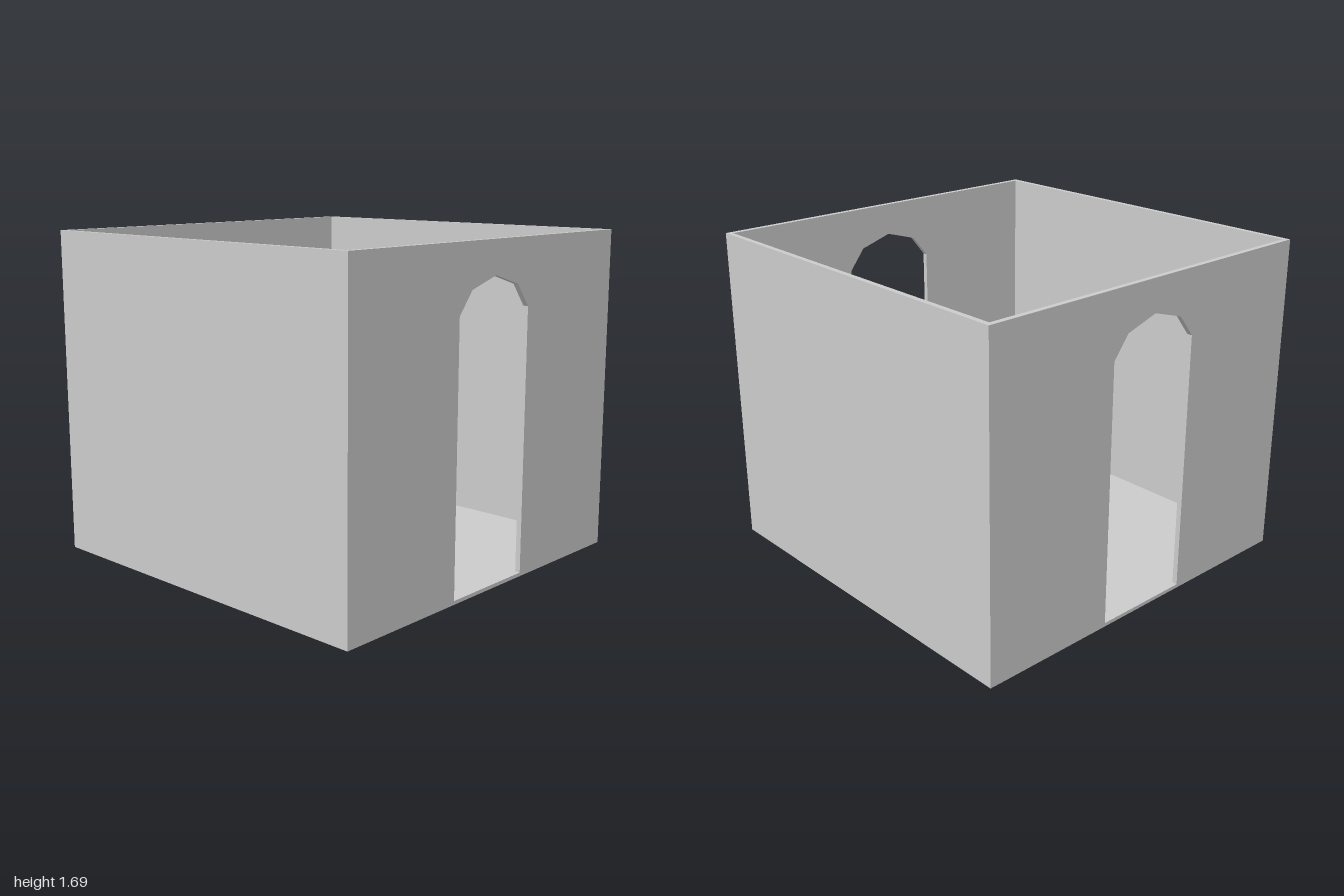
import * as THREE from 'three';

const HEIGHT = 1.69, THICK = 0.027, FLOOR = 0.019;
const INNER = 1 - THICK;

export function createModel() {
  const group = new THREE.Group();
  const material = new THREE.MeshStandardMaterial({ color: 0xcccccc, flatShading: true });

  const add = (name, geometry, x, y, z) => {
    const mesh = new THREE.Mesh(geometry, material);
    mesh.name = name;
    mesh.position.set(x, y, z);
    group.add(mesh);
  };

  // Floor slab between the walls
  add('floor', new THREE.BoxGeometry(2 * INNER, FLOOR, 2 * INNER), 0, FLOOR / 2, 0);

  // Plain front and back walls
  for (const [name, side] of [['frontWall', 1], ['backWall', -1]]) {
    add(name, new THREE.BoxGeometry(2, HEIGHT, THICK), 0, HEIGHT / 2, side * (1 - THICK / 2));
  }

  // Side walls, each with a faceted arched doorway
  const wall = new THREE.Shape([
    [-INNER, 0], [INNER, 0], [INNER, HEIGHT], [-INNER, HEIGHT],
  ].map(([x, y]) => new THREE.Vector2(x, y)));
  wall.holes.push(new THREE.Path([
    [-0.268, FLOOR], [-0.268, 1.357], [-0.178, 1.469], [0, 1.523],
    [0.177, 1.469], [0.264, 1.357], [0.264, FLOOR],
  ].map(([x, y]) => new THREE.Vector2(x, y))));
  const sideWall = new THREE.ExtrudeGeometry(wall, { depth: THICK, bevelEnabled: false });
  sideWall.rotateY(Math.PI / 2);
  add('leftWall', sideWall, INNER, 0, 0);
  add('rightWall', sideWall, -1, 0, 0);

  return group;
}
